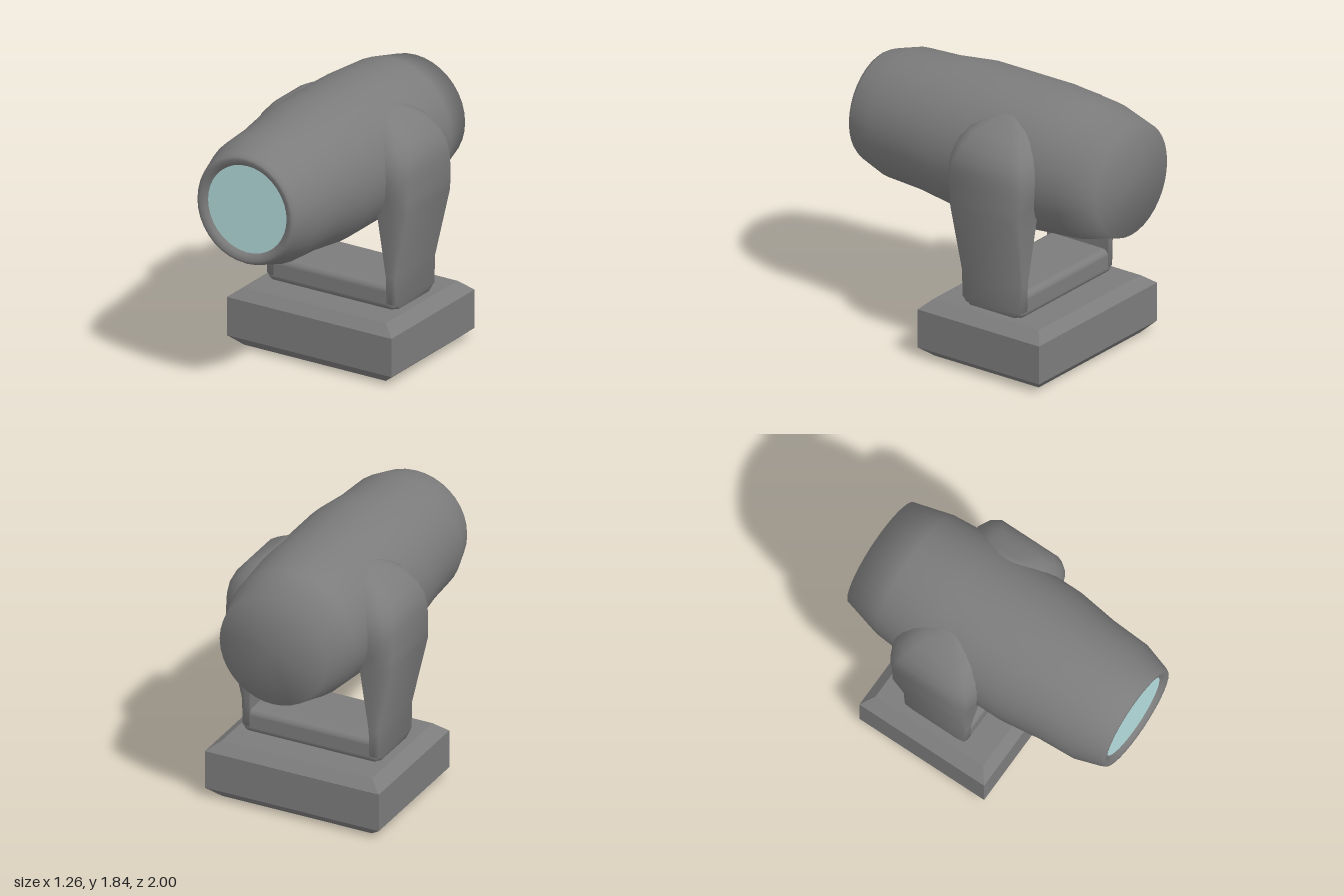
import * as THREE from 'three';
import { toCreasedNormals } from 'three/addons/utils/BufferGeometryUtils.js';
import { RoundedBoxGeometry } from 'three/addons/geometries/RoundedBoxGeometry.js';

const darkGrey = new THREE.MeshStandardMaterial({ color: 0x7c7c7c });
const glass = new THREE.MeshStandardMaterial({ color: 0xb4dcdc });
const STAND_Z = -0.245; // centre of base and yoke
const HEAD_Y = 1.353;

function add(parent, name, geometry, material = darkGrey) {
  const mesh = new THREE.Mesh(geometry, material);
  mesh.name = name;
  parent.add(mesh);
  return mesh;
}

// Closed solid from horizontal loops of [x, z] points, counter-clockwise from above
function loft(sections, crease) {
  const n = sections[0].loop.length;
  const positions = [], index = [];
  for (const { y, loop } of sections) for (const [x, z] of loop) positions.push(x, y, z);
  for (let s = 0; s < sections.length - 1; s++) {
    for (let i = 0; i < n; i++) {
      const a = s * n + i, b = s * n + (i + 1) % n;
      index.push(a, b, b + n, a, b + n, a + n);
    }
  }
  const top = (sections.length - 1) * n;
  for (let i = 1; i < n - 1; i++) {
    index.push(0, i + 1, i);
    index.push(top, top + i, top + i + 1);
  }
  const geometry = new THREE.BufferGeometry();
  geometry.setAttribute('position', new THREE.Float32BufferAttribute(positions, 3));
  geometry.setIndex(index);
  return toCreasedNormals(geometry, crease);
}

// Bevelled base block
function baseGeometry() {
  const rect = (y, x, z) => ({ y, loop: [[-x, z], [x, z], [x, -z], [-x, -z]] });
  return loft([
    rect(0, 0.545, 0.42), rect(0.07, 0.632, 0.488),
    rect(0.337, 0.632, 0.488), rect(0.402, 0.545, 0.42),
  ], 0.1);
}

// Yoke arm: y, inner x, outer x, half depth, half depth of the outer face
function armGeometry() {
  const rows = [
    [0.4, 0.44, 0.485, 0.19, 0.17],
    [0.45, 0.435, 0.495, 0.245, 0.225],
    [0.64, 0.432, 0.495, 0.248, 0.235],
    [1.12, 0.385, 0.6, 0.29, 0.25],
    [1.2, 0.37, 0.602, 0.305, 0.25],
    [1.29, 0.36, 0.602, 0.325, 0.25],
    [1.38, 0.36, 0.602, 0.332, 0.24],
    [1.46, 0.35, 0.592, 0.322, 0.22],
    [1.54, 0.34, 0.555, 0.292, 0.19],
    [1.62, 0.32, 0.487, 0.235, 0.15],
    [1.67, 0.31, 0.41, 0.175, 0.1],
    [1.705, 0.3, 0.355, 0.105, 0.06],
    [1.727, 0.29, 0.32, 0.045, 0.03],
  ];
  return loft(rows.map(([y, xi, xo, h, o]) => {
    const xm = xi + (xo - xi) * 0.5, xc = xi + (xo - xi) * 0.83, c = o + (h - o) * 0.6;
    return { y, loop: [[xi, h], [xm, h], [xc, c], [xo, o], [xo, -o], [xc, -c], [xm, -h], [xi, -h]] };
  }), 1.05);
}

// Barrel shaped head, turned about the z axis: [radius, z]
function headGeometry() {
  const profile = [
    [0, -1], [0.384, -1], [0.456, -0.73], [0.486, -0.36], [0.486, 0.25],
    [0.45, 0.53], [0.436, 0.79], [0.38, 0.97], [0.365, 0.997],
    [0.345, 1], [0.318, 0.99], [0.3, 0.965],
  ].map(([r, z]) => new THREE.Vector2(r, z));
  return new THREE.LatheGeometry(profile, 36).rotateX(Math.PI / 2);
}

export function createModel() {
  const model = new THREE.Group();
  model.name = 'movingHeadLight';

  const stand = new THREE.Group();
  stand.name = 'stand';
  stand.position.z = STAND_Z;
  model.add(stand);
  add(stand, 'base', baseGeometry());

  // Yoke: crossbar and two matching arms
  add(stand, 'yokeCrossbar', new RoundedBoxGeometry(0.985, 0.172, 0.485, 3, 0.045)).position.y = 0.486;
  const arm = armGeometry();
  add(stand, 'leftArm', arm);
  add(stand, 'rightArm', arm).rotation.y = Math.PI;

  // Head and lens
  const head = new THREE.Group();
  head.name = 'head';
  head.position.y = HEAD_Y;
  model.add(head);
  add(head, 'barrel', headGeometry());
  add(head, 'lens', new THREE.CircleGeometry(0.302, 36), glass).position.z = 0.968;

  return model;
}
